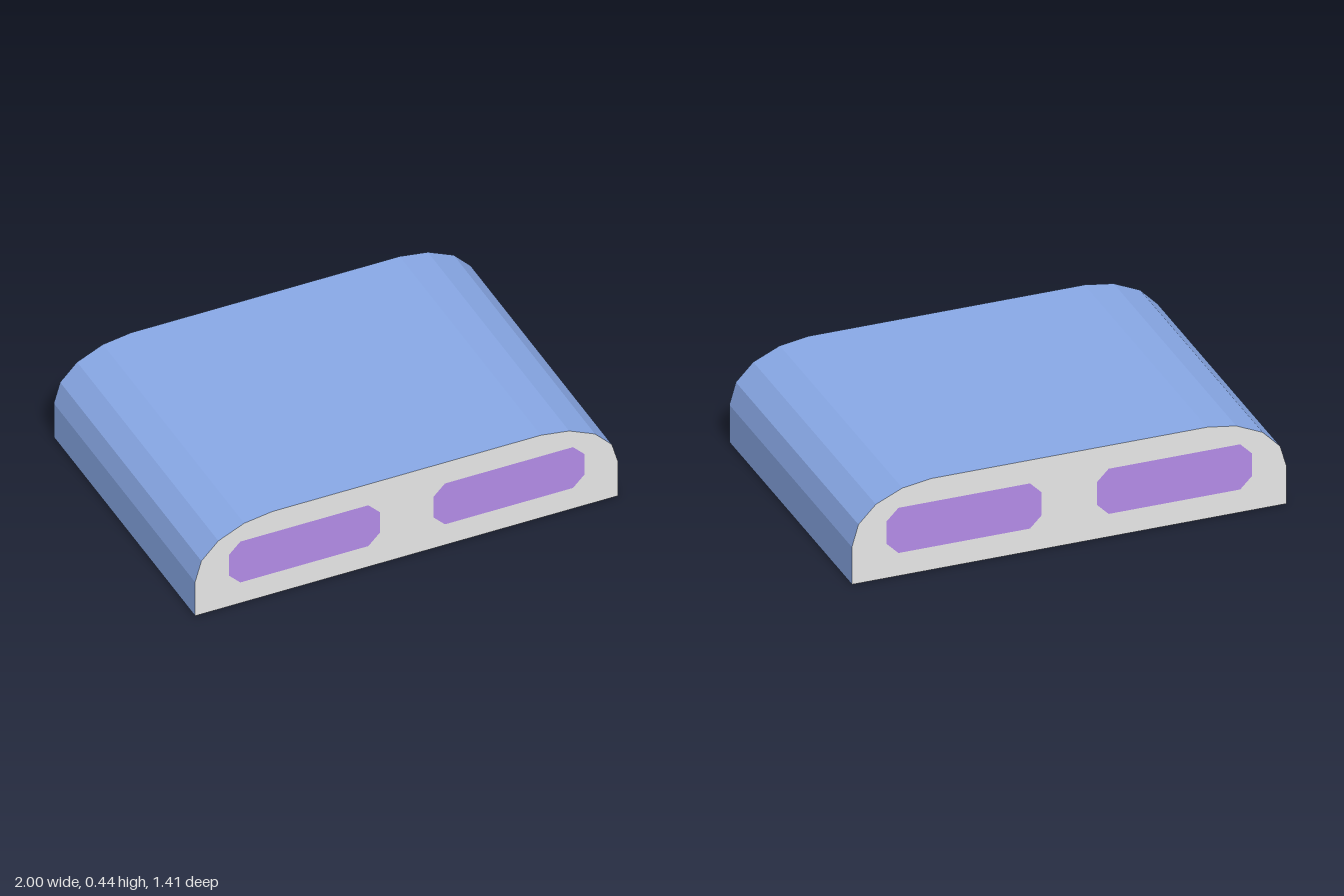
import * as THREE from 'three';

const HALF_DEPTH = 0.705;

// Right half of the arched cross-section, from the base up to the flat roof
const arch = [[1, 0], [1, 0.18], [0.97, 0.283], [0.89, 0.365], [0.768, 0.42], [0.635, 0.44]];
const outline = [...arch, ...arch.map(([x, y]) => [-x, y]).reverse()];

// Chamfered window outline; side is +1 or -1
function windowPoints(side) {
  const x0 = 0.127, x1 = 0.84, y0 = 0.11, y1 = 0.328, c = 0.054;
  return [
    [x0 + c, y0], [x1 - c, y0], [x1, y0 + c], [x1, y1 - c],
    [x1 - c, y1], [x0 + c, y1], [x0, y1 - c], [x0, y0 + c],
  ].map(([x, y]) => new THREE.Vector2(side * x, y));
}

// Strip of flat facets that follows the cross-section along the depth
function shellGeometry() {
  const pos = [];
  for (let i = 0; i < outline.length - 1; i++) {
    const [ax, ay] = outline[i], [bx, by] = outline[i + 1], d = HALF_DEPTH;
    pos.push(ax, ay, d, ax, ay, -d, bx, by, -d);
    pos.push(ax, ay, d, bx, by, -d, bx, by, d);
  }
  const geo = new THREE.BufferGeometry();
  geo.setAttribute('position', new THREE.Float32BufferAttribute(pos, 3));
  geo.computeVertexNormals();
  return geo;
}

export function createModel() {
  const material = (name, color) => {
    const m = new THREE.MeshStandardMaterial({ color });
    m.name = name;
    return m;
  };
  const blue = material('blue shell', 0x88a8e6);
  const grey = material('grey end', 0xe6e6e6);
  const purple = material('purple window', 0xb28be6);
  const navy = material('navy base', 0x001aad);

  const group = new THREE.Group();
  const add = (parent, name, geo, mat) => {
    const mesh = new THREE.Mesh(geo, mat);
    mesh.name = name;
    parent.add(mesh);
    return mesh;
  };

  add(group, 'shell', shellGeometry(), blue);

  // Flat underside
  const base = add(group, 'base', new THREE.PlaneGeometry(2, HALF_DEPTH * 2), navy);
  base.rotation.x = Math.PI / 2;

  // Matching end walls with flush windows, front and back
  for (const end of ['front', 'back']) {
    const wall = new THREE.Group();
    wall.name = end + 'End';
    const shape = new THREE.Shape(outline.map(([x, y]) => new THREE.Vector2(x, y)));
    for (const side of [-1, 1]) {
      const points = windowPoints(side);
      shape.holes.push(new THREE.Path(points));
      add(wall, side > 0 ? 'windowA' : 'windowB',
        new THREE.ShapeGeometry(new THREE.Shape(points)), purple);
    }
    add(wall, 'wall', new THREE.ShapeGeometry(shape), grey);
    wall.position.z = end === 'front' ? HALF_DEPTH : -HALF_DEPTH;
    if (end === 'back') wall.rotation.y = Math.PI;
    group.add(wall);
  }
  return group;
}
